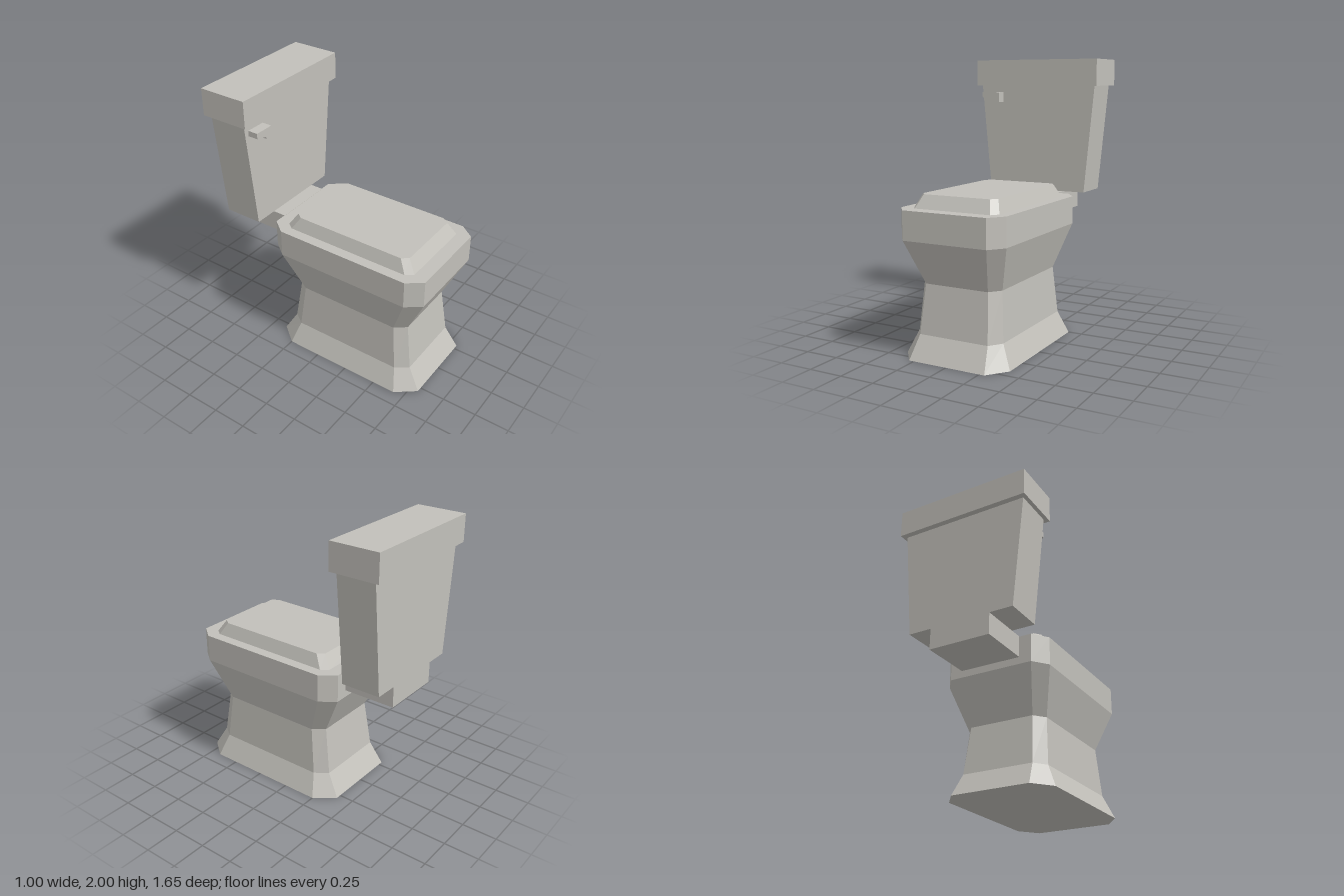
import * as THREE from 'three';

// Octagonal ring: rectangle with chamfered corners, given flat-edge limits
function ring([y, hx, back, front, cutX, cutZ]) {
  const x = hx - cutX, b = back + cutZ, f = front - cutZ;
  return [[-x, front], [x, front], [hx, f], [hx, b], [x, back], [-x, back], [-hx, b], [-hx, f]]
    .map(([px, pz]) => [px, y, pz]);
}

// Faceted solid through a stack of rings, capped at both ends
function loft(sections) {
  const rings = sections.map(ring), pos = [];
  const tri = (a, b, c) => pos.push(...a, ...b, ...c);
  for (let r = 0; r < rings.length - 1; r++) {
    const lo = rings[r], hi = rings[r + 1];
    for (let i = 0; i < 8; i++) {
      const j = (i + 1) % 8;
      tri(lo[i], lo[j], hi[j]);
      tri(lo[i], hi[j], hi[i]);
    }
  }
  const bottom = rings[0], top = rings[rings.length - 1];
  for (let i = 1; i < 7; i++) {
    tri(top[0], top[i], top[i + 1]);
    tri(bottom[0], bottom[i + 1], bottom[i]);
  }
  const geo = new THREE.BufferGeometry();
  geo.setAttribute('position', new THREE.Float32BufferAttribute(pos, 3));
  geo.computeVertexNormals();
  return geo;
}

// Box from limits, with separate half widths at bottom and top
function block(y0, y1, z0, z1, halfBottom, halfTop = halfBottom) {
  const geo = new THREE.BoxGeometry(2, y1 - y0, z1 - z0).toNonIndexed();
  geo.translate(0, (y0 + y1) / 2, (z0 + z1) / 2);
  const p = geo.attributes.position, mid = (y0 + y1) / 2;
  for (let i = 0; i < p.count; i++) {
    p.setX(i, p.getX(i) * (p.getY(i) > mid ? halfTop : halfBottom));
  }
  geo.computeVertexNormals();
  return geo;
}

export function createModel() {
  const group = new THREE.Group();
  const ceramic = new THREE.MeshStandardMaterial({ color: 0xc2c0ba });
  ceramic.name = 'ceramic';
  ceramic.flatShading = true;
  const add = (name, geo) => {
    const mesh = new THREE.Mesh(geo, ceramic);
    mesh.name = name;
    group.add(mesh);
  };

  // Pedestal flares into the bowl: [y, halfWidth, back, front, cutX, cutZ]
  add('bowl', loft([
    [0, 0.397, -0.39, 0.812, 0.11, 0.14],
    [0.16, 0.325, -0.297, 0.718, 0.065, 0.09],
    [0.5, 0.3, -0.25, 0.673, 0.063, 0.08],
    [0.81, 0.396, -0.405, 0.825, 0.083, 0.108],
    [1.01, 0.396, -0.405, 0.825, 0.083, 0.108],
  ]));

  // Seat lid with bevelled rim
  add('seatLid', loft([
    [1.01, 0.322, -0.312, 0.725, 0.038, 0.052],
    [1.1, 0.285, -0.25, 0.665, 0.035, 0.047],
  ]));

  // Neck joining bowl and tank
  add('neck', block(0.86, 1.012, -0.785, -0.4, 0.225));

  // Tank widens toward its cover
  add('tank', block(1.012, 1.805, -0.785, -0.5, 0.395, 0.471));
  add('tankCover', block(1.805, 2, -0.825, -0.463, 0.5));

  // Flush handle on the tank front
  const outline = [[-0.43, 1.755], [-0.43, 1.715], [-0.342, 1.696],
    [-0.342, 1.68], [-0.285, 1.68], [-0.285, 1.755]];
  const shape = new THREE.Shape(outline.map(([x, y]) => new THREE.Vector2(x, y)));
  const handle = new THREE.ExtrudeGeometry(shape, { depth: 0.075, bevelEnabled: false });
  handle.translate(0, 0, -0.5);
  add('flushHandle', handle);

  return group;
}
